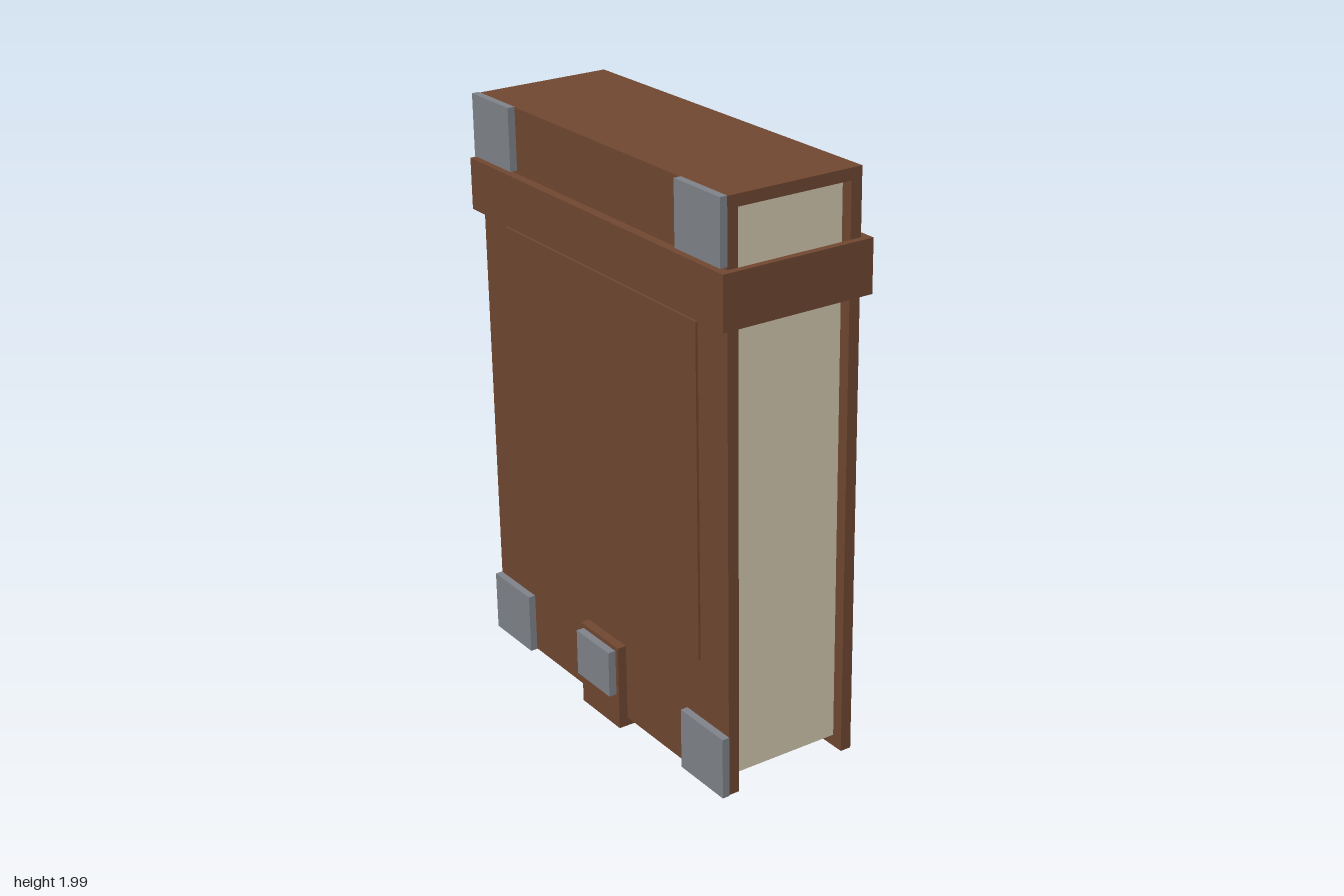
import * as THREE from 'three';

const material = (name, color) => {
  const m = new THREE.MeshStandardMaterial({ color });
  m.name = name;
  return m;
};

export function createModel() {
  const leather = material('brown leather', 0x6e4630);
  const paper = material('aged paper', 0xcfc5ae);
  const steel = material('grey steel', 0x7d8187);

  const model = new THREE.Group();
  model.name = 'strappedBook';
  const book = new THREE.Group();
  book.name = 'book';
  model.add(book);

  // Box given by its minimum and maximum on each axis
  const box = (name, mat, [x0, x1], [y0, y1], [z0, z1], parent = book) => {
    const mesh = new THREE.Mesh(new THREE.BoxGeometry(x1 - x0, y1 - y0, z1 - z0), mat);
    mesh.position.set((x0 + x1) / 2, (y0 + y1) / 2, (z0 + z1) / 2);
    mesh.name = name;
    parent.add(mesh);
    return mesh;
  };

  // Half sizes of the book: thickness, height, length
  const X = 0.237, Y = 0.96, Z = 0.675, board = 0.038;

  // Covers, spine on top, and the recessed page block
  box('leftCover', leather, [X - board, X], [-Y, Y], [-Z, Z]);
  box('rightCover', leather, [-X, -X + board], [-Y, Y], [-Z, Z]);
  box('spine', leather, [-X + board, X - board], [Y - board, Y], [-Z, Z]);
  box('pages', paper, [-X + board, X - board], [-Y + 0.04, Y - board], [-Z + 0.04, Z - 0.04]);

  // Raised panel on the decorated cover
  box('coverPanel', leather, [-X - 0.008, -X], [-0.55, 0.55], [-0.53, 0.53]);

  // Steel corner plates
  for (const sy of [-1, 1]) for (const sz of [-1, 1]) {
    const ys = sy > 0 ? [Y - 0.205, Y + 0.002] : [-Y - 0.002, -Y + 0.205];
    const zs = sz > 0 ? [Z - 0.22, Z + 0.002] : [-Z - 0.002, -Z + 0.22];
    box('cornerPlate', steel, [-X - 0.025, -X], ys, zs);
  }

  // Strap around the book, with a loose tail at the back
  const strap = new THREE.Group();
  strap.name = 'strap';
  book.add(strap);
  const band = [0.572, 0.745], SX = 0.268, SZ = 0.698;
  box('strapWithTail', leather, [X, SX - 0.003], band, [-0.965, SZ], strap);
  box('strapSide', leather, [-SX, -X], band, [-SZ, SZ], strap);
  box('strapFront', leather, [-X, X], band, [Z, SZ], strap);
  box('strapBack', leather, [-X, X], band, [-SZ, -Z], strap);

  // Clasp folding from under the book onto the decorated cover
  const clasp = new THREE.Group();
  clasp.name = 'clasp';
  book.add(clasp);
  box('claspTongue', leather, [-0.268, 0.203], [-0.99, -0.958], [-0.11, 0.11], clasp);
  box('claspFlap', leather, [-0.268, -X], [-0.958, -0.695], [-0.11, 0.11], clasp);
  box('claspPlate', steel, [-0.295, -0.268], [-0.87, -0.71], [-0.095, 0.095], clasp);

  // Turned and slightly leaning pose
  const up = new THREE.Vector3(-0.049, 0.998, 0.021).normalize();
  const front = new THREE.Vector3(-0.244, -0.03, 0.97);
  const side = new THREE.Vector3().crossVectors(up, front).normalize();
  front.crossVectors(side, up);
  book.quaternion.setFromRotationMatrix(new THREE.Matrix4().makeBasis(side, up, front));
  book.position.set(0.002, 1.012, 0.047);

  // Centre the model and stand it on the ground
  model.updateMatrixWorld(true);
  const bounds = new THREE.Box3().setFromObject(model, true);
  const centre = bounds.getCenter(new THREE.Vector3());
  book.position.sub(new THREE.Vector3(centre.x, bounds.min.y, centre.z));
  return model;
}
